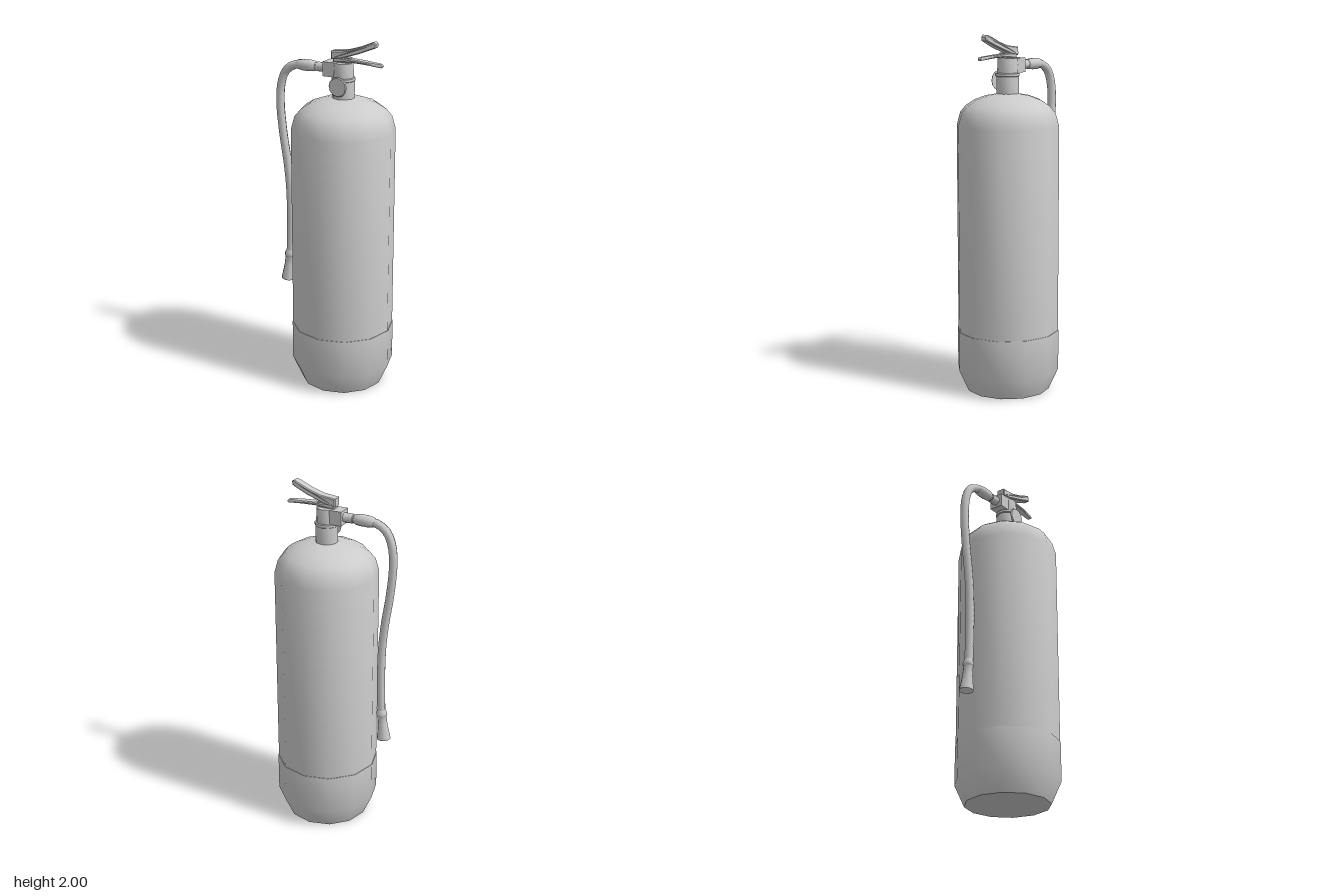
import * as THREE from 'three';
import { toCreasedNormals } from 'three/addons/utils/BufferGeometryUtils.js';

const AXIS_X = 0.064; // centre line of the cylinder
const material = new THREE.MeshStandardMaterial({ color: 0xcccccc, side: THREE.DoubleSide });

function part(name, geometry, x = 0, y = 0, z = 0) {
  const mesh = new THREE.Mesh(geometry, material);
  mesh.name = name;
  mesh.position.set(x, y, z);
  return mesh;
}

// Turned shape from [radius, height] pairs, smooth round the axis, sharp at steep steps
function turned(profile, sides) {
  const points = profile.map(([r, y]) => new THREE.Vector2(r, y));
  return toCreasedNormals(new THREE.LatheGeometry(points, sides), 0.9);
}

// Side outline in x/y, extruded across z; the width narrows towards the tip
function lever(outline, halfWidth, taperStart, tipX, tipHalfWidth) {
  const shape = new THREE.Shape(outline.map(([x, y]) => new THREE.Vector2(x, y)));
  const bevel = 0.005;
  const geometry = new THREE.ExtrudeGeometry(shape, {
    depth: 2 * (halfWidth - bevel), bevelEnabled: true, bevelSize: bevel,
    bevelOffset: -bevel, bevelThickness: bevel, bevelSegments: 1,
  });
  geometry.translate(0, 0, bevel - halfWidth);
  const p = geometry.attributes.position;
  for (let i = 0; i < p.count; i++) {
    const t = THREE.MathUtils.clamp((p.getX(i) - taperStart) / (tipX - taperStart), 0, 1);
    p.setZ(i, p.getZ(i) * THREE.MathUtils.lerp(1, tipHalfWidth / halfWidth, t));
  }
  return toCreasedNormals(geometry, 0.6);
}

export function createModel() {
  const model = new THREE.Group();
  model.name = 'fireExtinguisher';

  // Pressure cylinder with domed shoulder
  model.add(part('cylinder', turned([
    [0, 0.225], [0.287, 0.225], [0.287, 1.5], [0.267, 1.572], [0.235, 1.61],
    [0.185, 1.643], [0.125, 1.665], [0.06, 1.677],
  ], 12), AXIS_X));

  // Base boot
  model.add(part('baseBoot', turned([
    [0, 0], [0.236, 0], [0.29, 0.12], [0.29, 0.345], [0.286, 0.345],
  ], 12), AXIS_X));

  // Neck, collar and valve body
  model.add(part('valveNeck', turned([
    [0.062, 1.66], [0.062, 1.77], [0.066, 1.773], [0.066, 1.787],
    [0.058, 1.79], [0.054, 1.87], [0, 1.87],
  ], 10), AXIS_X));
  model.add(part('valveOutlet', new THREE.BoxGeometry(0.12, 0.08, 0.08), 0.017, 1.83, 0));
  model.add(part('leverMount', new THREE.BoxGeometry(0.1, 0.04, 0.036), 0.06, 1.88, 0));

  // Pressure gauge on the front of the neck
  const gauge = new THREE.Group();
  gauge.name = 'pressureGauge';
  gauge.position.set(AXIS_X, 1.747, 0.07);
  const dial = part('gaugeDial', toCreasedNormals(new THREE.CylinderGeometry(0.05, 0.055, 0.007, 12), 0.7));
  const stem = part('gaugeStem', new THREE.CylinderGeometry(0.012, 0.012, 0.03, 8), 0, 0, -0.015);
  for (const mesh of [dial, stem]) {
    mesh.rotation.x = Math.PI / 2;
    gauge.add(mesh);
  }
  model.add(gauge);

  // Squeeze levers
  model.add(part('upperLever', lever([
    [0, 1.885], [0.06, 1.893], [0.17, 1.93], [0.262, 1.968], [0.265, 1.99],
    [0.25, 2.0], [0.225, 1.99], [0.16, 1.962], [0.09, 1.94], [0, 1.93],
  ], 0.027, 0.235, 0.265, 0.017)));
  model.add(part('lowerLever', lever([
    [0.01, 1.868], [0.11, 1.877], [0.2, 1.874], [0.293, 1.864], [0.3, 1.873],
    [0.29, 1.883], [0.2, 1.889], [0.11, 1.895], [0.01, 1.9],
  ], 0.024, 0.2, 0.3, 0.013)));

  // Hose coupling and grip, turned along -x
  const coupling = part('hoseCoupling', turned([
    [0, 0], [0.026, 0], [0.026, 0.055], [0.022, 0.058], [0.022, 0.064], [0.028, 0.068],
    [0.032, 0.1], [0.032, 0.14], [0.026, 0.175], [0.022, 0.18],
  ], 10), -0.042, 1.83, 0);
  coupling.rotation.z = Math.PI / 2;
  model.add(coupling);

  // Hanging hose
  const hosePath = new THREE.CatmullRomCurve3([
    [-0.2, 1.83], [-0.245, 1.822], [-0.295, 1.785], [-0.325, 1.71], [-0.333, 1.6],
    [-0.318, 1.43], [-0.291, 1.25], [-0.277, 1.1], [-0.274, 0.9], [-0.28, 0.7],
  ].map(([x, y]) => new THREE.Vector3(x, y, 0)));
  model.add(part('hose', new THREE.TubeGeometry(hosePath, 36, 0.024, 8, false)));

  // Flared nozzle with collar, open at the end
  const nozzle = part('nozzle', turned([
    [0, 0.03], [0.033, 0.006], [0.039, 0], [0.037, 0.02], [0.028, 0.09],
    [0.026, 0.145], [0.031, 0.15], [0.031, 0.165], [0.024, 0.185],
  ], 10), -0.298, 0.542, 0);
  nozzle.rotation.z = -0.1;
  model.add(nozzle);

  return model;
}
